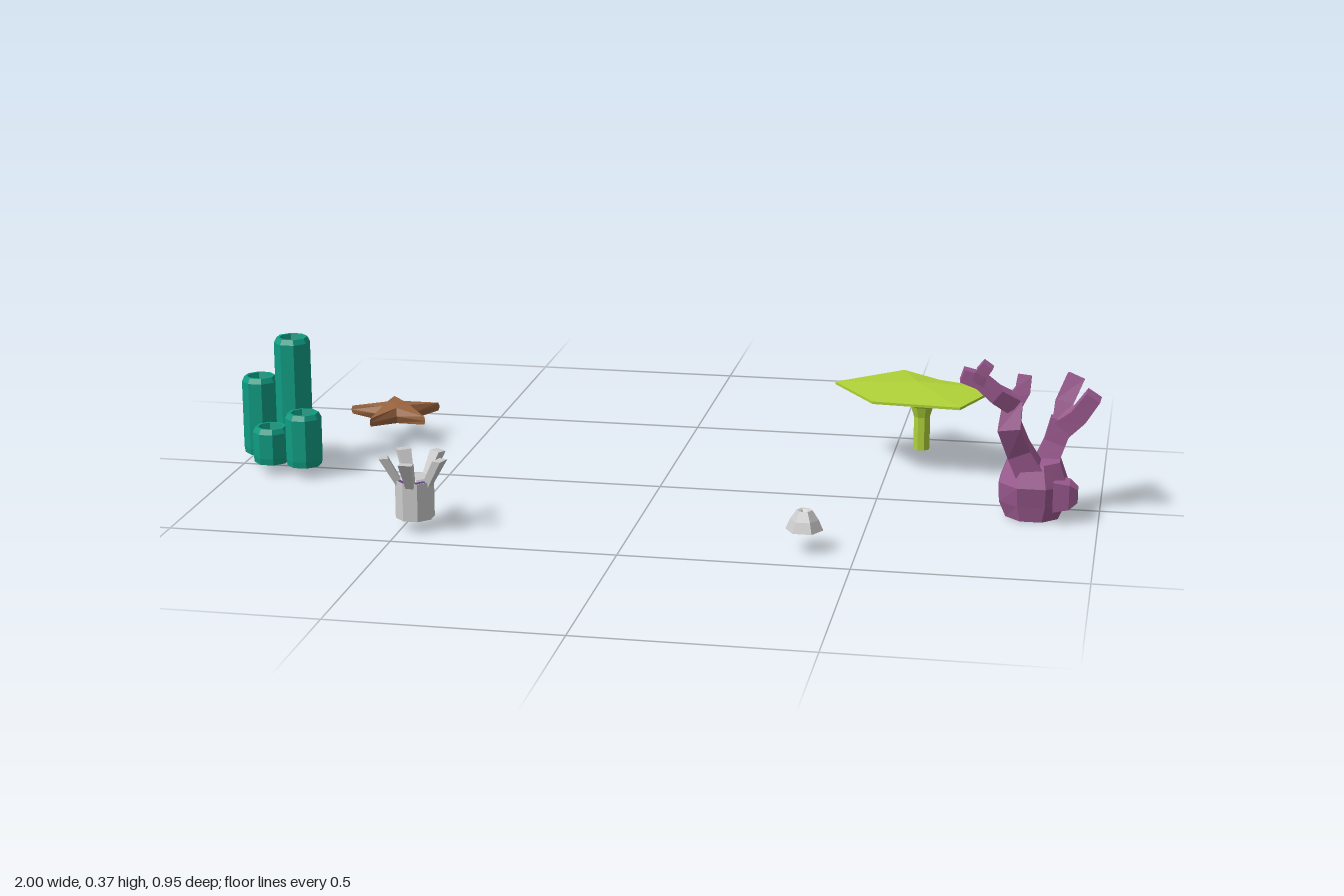
import * as THREE from 'three';

const V = (x, y, z) => new THREE.Vector3(x, y, z);
const mat = (color) => new THREE.MeshStandardMaterial({ color, flatShading: true, side: THREE.DoubleSide });
const purple = mat(0x9c5a90), teal = mat(0x0f9c82), lime = mat(0xb0d238), brown = mat(0x9a6540), grey = mat(0xcccccc), violet = mat(0x5e3c82);

function part(parent, name, geometry, material) {
  const mesh = new THREE.Mesh(geometry, material);
  mesh.name = name;
  parent.add(mesh);
  return mesh;
}

function group(parent, name, x = 0, y = 0, z = 0) {
  const g = new THREE.Group();
  g.name = name;
  g.position.set(x, y, z);
  parent.add(g);
  return g;
}

// Skin a list of equal-length rings (counter-clockwise about the path), closed by fans
function loft(rings, lowTip, highTip) {
  const n = rings[0].length, m = rings.length, index = [];
  const middle = (r) => r.reduce((s, p) => s.add(p), V(0, 0, 0)).divideScalar(n);
  const pts = [...rings.flat(), lowTip || middle(rings[0]), highTip || middle(rings[m - 1])];
  for (let j = 0; j < n; j++) {
    const k = (j + 1) % n;
    for (let i = 0; i < m - 1; i++) {
      const a = i * n + j, b = i * n + k;
      index.push(a, b, b + n, a, b + n, a + n);
    }
    index.push(m * n, k, j, m * n + 1, (m - 1) * n + j, (m - 1) * n + k);
  }
  const g = new THREE.BufferGeometry().setFromPoints(pts);
  g.setIndex(index);
  g.computeVertexNormals();
  return g;
}

// Horizontal ring, radius may depend on the corner
const flatRing = (n, y, rx, rz, turn = 0, cx = 0, cz = 0) =>
  Array.from({ length: n }, (_, i) => {
    const a = turn + (i / n) * Math.PI * 2;
    return V(cx + Math.cos(a) * rx, y, cz - Math.sin(a) * rz);
  });

// Square limb along points given as [x, y, z, halfWidth]
function limb(path) {
  const p = path.map((q) => V(q[0], q[1], q[2]));
  return loft(path.map((q, i) => {
    const t = p[Math.min(i + 1, p.length - 1)].clone().sub(p[Math.max(i - 1, 0)]).normalize();
    const u = V(0, 0, 1).cross(t).normalize(), v = t.clone().cross(u);
    return [[1, 1], [-1, 1], [-1, -1], [1, -1]].map(([a, b]) =>
      p[i].clone().addScaledVector(u, a * q[3]).addScaledVector(v, b * q[3]));
  }));
}

const lathe = (profile, sides) =>
  new THREE.LatheGeometry(profile.map(([r, y]) => new THREE.Vector2(r, y)), sides, Math.PI / sides);

export function createModel() {
  const root = new THREE.Group();
  root.name = 'reefSet';

  // Branching coral: faceted base, side nub and two forked branches
  const coral = group(root, 'branchingCoral');
  part(coral, 'coralBase', loft([
    [0, 0.06, 0.058], [0.035, 0.076, 0.064], [0.08, 0.078, 0.074], [0.13, 0.06, 0.056],
  ].map(([y, rx, rz]) => flatRing(8, y, rx * 1.04, rz * 1.04, Math.PI / 8, 0.853, 0.052))), purple);
  part(coral, 'coralNub', limb([[0.9, 0.062, 0.085, 0.034], [0.935, 0.062, 0.085, 0.028], [0.953, 0.062, 0.085, 0.015]]), purple);
  const limbs = {
    frontBranch: [[0.845, 0.11, 0.08, 0.03], [0.82, 0.16, 0.09, 0.026], [0.8, 0.22, 0.117, 0.025], [0.805, 0.275, 0.103, 0.021]],
    frontOuterFork: [[0.805, 0.27, 0.11, 0.02], [0.77, 0.295, 0.13, 0.018], [0.735, 0.325, 0.133, 0.017], [0.695, 0.338, 0.138, 0.015], [0.735, 0.362, 0.145, 0.012]].slice(0, 4),
    frontOuterTwig: [[0.73, 0.318, 0.135, 0.014], [0.738, 0.345, 0.142, 0.014], [0.752, 0.365, 0.145, 0.013]],
    frontUpperFork: [[0.805, 0.265, 0.1, 0.019], [0.825, 0.298, 0.095, 0.017], [0.828, 0.33, 0.09, 0.015]],
    backBranch: [[0.875, 0.11, 0.025, 0.026], [0.895, 0.16, 0.014, 0.024], [0.91, 0.21, 0.008, 0.026]],
    backOuterFork: [[0.912, 0.195, 0.012, 0.023], [0.948, 0.228, 0.02, 0.02], [0.978, 0.275, 0.028, 0.018]],
    backUpperFork: [[0.91, 0.195, 0, 0.024], [0.912, 0.245, -0.015, 0.02], [0.935, 0.3, -0.038, 0.019]],
  };
  for (const [name, path] of Object.entries(limbs)) part(coral, name, limb(path), purple);

  // Cluster of tube sponges with sunken mouths
  const sponges = group(root, 'tubeSponges');
  [[-0.963, -0.027, 0.21], [-0.878, -0.018, 0.31], [-0.915, 0.048, 0.11], [-0.832, 0.058, 0.15]].forEach(([x, z, top]) => {
    const tube = part(sponges, 'spongeTube', lathe([
      [0, 0.025], [0.04, 0.025], [0.042, 0.04], [0.042, top - 0.012], [0.036, top], [0.029, top], [0.026, top - 0.015], [0, top - 0.015],
    ], 8), teal);
    tube.position.set(x, 0, z);
  });

  // Table coral: flared stem under a thin irregular plate
  const table = group(root, 'tableCoral');
  const stem = part(table, 'tableStem', lathe([
    [0, 0.025], [0.02, 0.025], [0.02, 0.105], [0.028, 0.13], [0.048, 0.158], [0.07, 0.172],
  ], 8), lime);
  stem.position.set(0.568, 0, -0.337);
  const outline = [[0.74, -0.34], [0.6, -0.4], [0.51, -0.475], [0.36, -0.336], [0.467, -0.176], [0.67, -0.16]];
  part(table, 'tablePlate', loft(
    [0.173, 0.179].map((y) => outline.map(([x, z]) => V(x, y, z))),
    V(0.565, 0.164, -0.335), V(0.555, 0.191, -0.33)), lime);

  // Starfish: five tapering arms with bevelled edges
  const star = group(root, 'starfish', -0.703, 0.068, -0.267);
  const starRing = (side) => Array.from({ length: 10 }, (_, i) => {
    const tip = i % 2 === 0, a = Math.PI / 5 + (i * Math.PI) / 5;
    const r = (tip ? 0.113 : 0.044) * (side ? (tip ? 0.97 : 0.78) : 1);
    return V(Math.cos(a) * r, side * (tip ? 0.01 : 0.019), -Math.sin(a) * r);
  });
  part(star, 'starfishBody', loft([-1, 0, 1].map(starRing), V(0, -0.022, 0), V(0, 0.022, 0)), brown);

  // Anemone: octagonal cup, violet rim, centre disc and five flaring prongs
  const anemone = group(root, 'anemone', -0.472, 0, 0.395);
  part(anemone, 'anemoneCup', lathe([[0, 0.025], [0.043, 0.025], [0.043, 0.111], [0.038, 0.111]], 8), grey);
  part(anemone, 'anemoneRim', lathe([[0.041, 0.111], [0.034, 0.113], [0, 0.113]], 8), violet);
  part(anemone, 'anemoneDisc', lathe([[0.035, 0.113], [0.032, 0.117], [0, 0.117]], 8), grey);
  for (let i = 0; i < 5; i++) {
    const section = (y, r, depth, width) => [[1, 1], [1, -1], [-1, -1], [-1, 1]].map(([a, b]) => V(b * width, y, r + a * depth)).reverse();
    const prong = part(anemone, 'anemoneProng', loft([section(0.1, 0.032, 0.009, 0.009), section(0.163, 0.067, 0.01, 0.015)].map((r) => r.reverse())), grey);
    prong.rotation.y = (i * Math.PI * 2) / 5;
  }

  // Barnacle: small six-sided cone with a sunken top
  const barnacle = part(root, 'barnacle', lathe([
    [0, 0.045], [0.041, 0.045], [0.031, 0.068], [0.017, 0.089], [0.012, 0.087], [0, 0.075],
  ], 6), grey);
  barnacle.position.set(0.387, 0, 0.388);

  return root;
}
